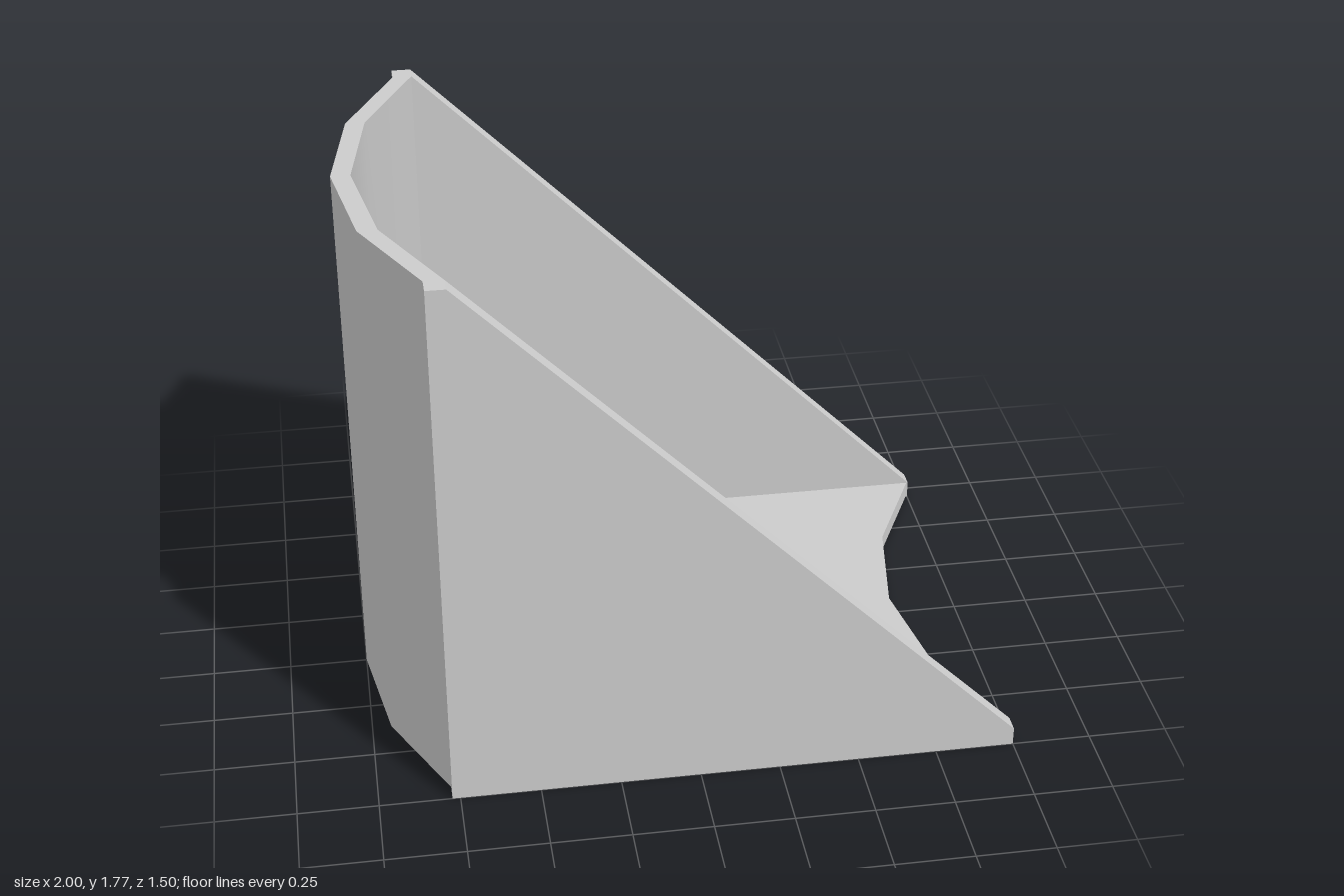
import * as THREE from 'three';
import { toCreasedNormals } from 'three/addons/utils/BufferGeometryUtils.js';

const HEIGHT = 1.775, THICK = 0.06;
const INNER_Z = 0.695, OUTER_Z = 0.75;
const RAMP_TOP = 0.445, RAMP_RUN = 0.383;

// the shared bowed curve: [x offset, z]
const BOW = [[0.225, -INNER_Z], [0.06, -0.365], [0, 0], [0.06, 0.365], [0.225, INNER_Z]];
const bowAt = (x) => BOW.map(([dx, z]) => new THREE.Vector2(x + dx, z));

// upright slab between two bowed curves
function bowedSlab(xBack, xFront, height) {
  const shape = new THREE.Shape([...bowAt(xBack), ...bowAt(xFront).reverse()]);
  return new THREE.ExtrudeGeometry(shape, { depth: height, bevelEnabled: false })
    .rotateX(-Math.PI / 2);
}

export function createModel() {
  const group = new THREE.Group();
  const smooth = new THREE.MeshStandardMaterial({ color: 0xcccccc });
  const flat = new THREE.MeshStandardMaterial({ color: 0xcccccc, flatShading: true });
  const add = (name, geometry, material) => {
    const mesh = new THREE.Mesh(geometry, material);
    mesh.name = name;
    group.add(mesh);
    return mesh;
  };

  // softly shaded bowed back and flat floor with a bowed front lip
  add('backWall', toCreasedNormals(bowedSlab(-1, -0.94, HEIGHT), 0.4), smooth);
  add('floor', bowedSlab(-0.94, 0.77, THICK), flat);

  // sloping facets joining back and floor
  const top = bowAt(-0.94), bottom = bowAt(-0.94 + RAMP_RUN);
  const corners = [];
  for (let i = 0; i < BOW.length - 1; i++) {
    const u = (k) => [top[k].x, RAMP_TOP, top[k].y];
    const l = (k) => [bottom[k].x, THICK, bottom[k].y];
    corners.push(...u(i), ...u(i + 1), ...l(i), ...u(i + 1), ...l(i + 1), ...l(i));
  }
  const ramp = new THREE.BufferGeometry();
  ramp.setAttribute('position', new THREE.Float32BufferAttribute(corners, 3));
  ramp.computeVertexNormals();
  add('ramp', ramp, flat);

  // triangular side walls
  const side = new THREE.Shape([
    [-0.775, 0], [1, 0], [1, THICK], [-0.715, HEIGHT], [-0.775, HEIGHT],
  ].map(([x, y]) => new THREE.Vector2(x, y)));
  const plate = new THREE.ExtrudeGeometry(side, { depth: OUTER_Z - INNER_Z, bevelEnabled: false });
  add('rightWall', plate, flat).position.z = INNER_Z;
  add('leftWall', plate, flat).position.z = -OUTER_Z;
  group.getObjectByName('rightWall').name = 'frontSideWall';
  group.getObjectByName('leftWall').name = 'backSideWall';

  return group;
}
